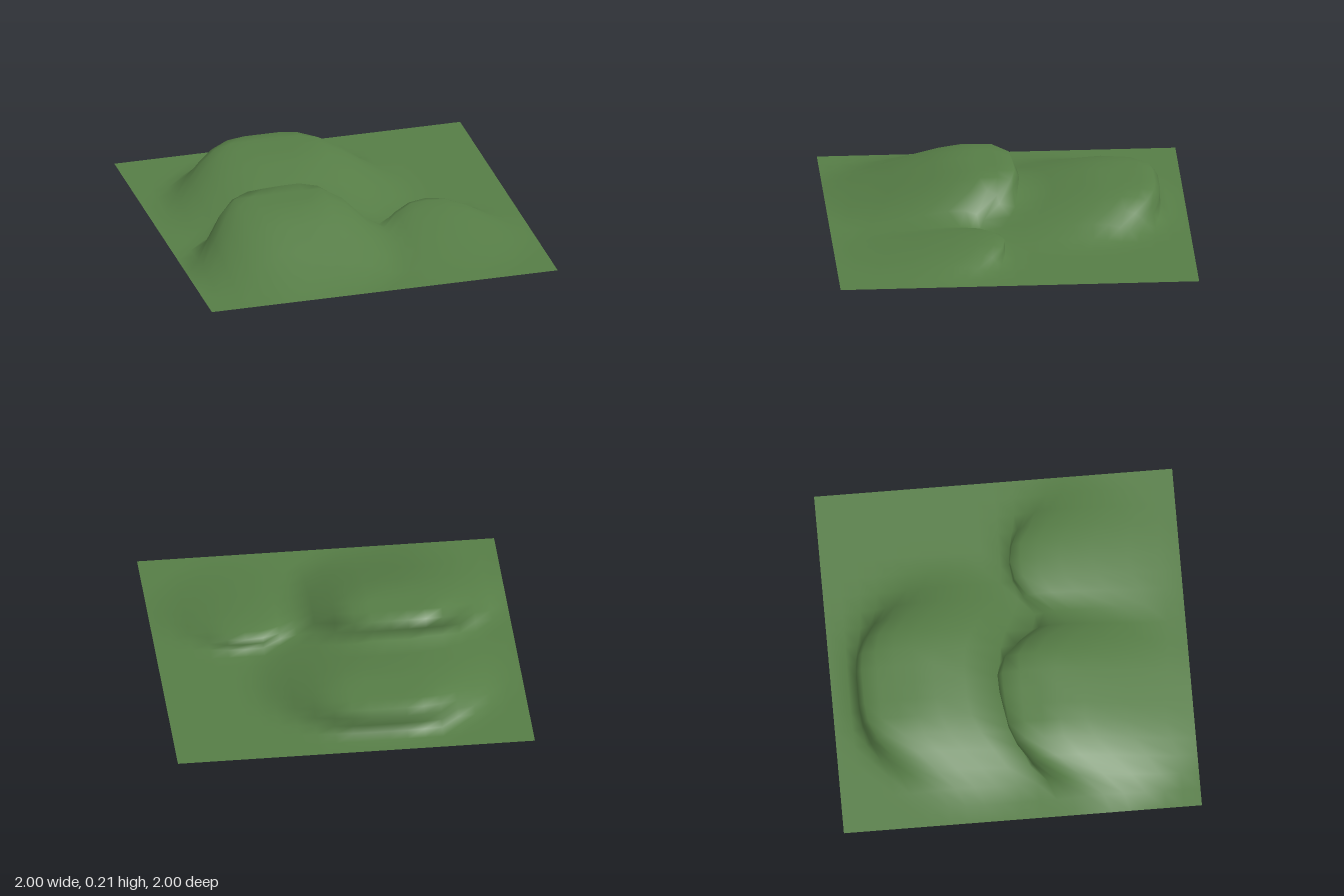
import * as THREE from 'three';

// Each hill: a level top along the line a-b, falling off from inner to outer,
// raised by height and leaning back towards -z by lean.
const hills = [
  { a: [-0.46, 0.48], b: [-0.24, 0.45], inner: 0.14, outer: 0.52, height: 0.212, lean: 0.35 },
  { a: [-0.30, -0.30], b: [-0.10, -0.30], inner: 0.14, outer: 0.63, height: 0.165, lean: 0.34 },
  { a: [0.49, 0.47], b: [0.51, 0.47], inner: 0.07, outer: 0.48, height: 0.09, lean: 0.29 },
];

// Distance from a ground point to the line a-b
function distanceToLine(x, z, [ax, az], [bx, bz]) {
  const dx = bx - ax, dz = bz - az;
  const t = THREE.MathUtils.clamp(((x - ax) * dx + (z - az) * dz) / (dx * dx + dz * dz), 0, 1);
  return Math.hypot(x - ax - t * dx, z - az - t * dz);
}

export function createModel() {
  const group = new THREE.Group();
  group.name = 'hillyGround';

  const grass = new THREE.MeshStandardMaterial({ color: 0x567d46, side: THREE.DoubleSide });
  grass.name = 'grassGreen';

  // Square sheet of ground, pushed up and back into overhanging hills
  const geometry = new THREE.PlaneGeometry(2, 2, 20, 20).rotateX(-Math.PI / 2);
  const pos = geometry.attributes.position;
  for (let i = 0; i < pos.count; i++) {
    const x = pos.getX(i), z = pos.getZ(i);
    let rise = 0, lean = 0;
    // The border stays flat and straight
    if (Math.max(Math.abs(x), Math.abs(z)) < 0.99) {
      for (const h of hills) {
        const f = 1 - THREE.MathUtils.smoothstep(distanceToLine(x, z, h.a, h.b), h.inner, h.outer);
        rise = Math.max(rise, h.height * f);
        lean = Math.max(lean, h.lean * f);
      }
    }
    pos.setXYZ(i, x, rise, z - lean);
  }
  geometry.computeVertexNormals();

  const ground = new THREE.Mesh(geometry, grass);
  ground.name = 'ground';
  group.add(ground);
  return group;
}
